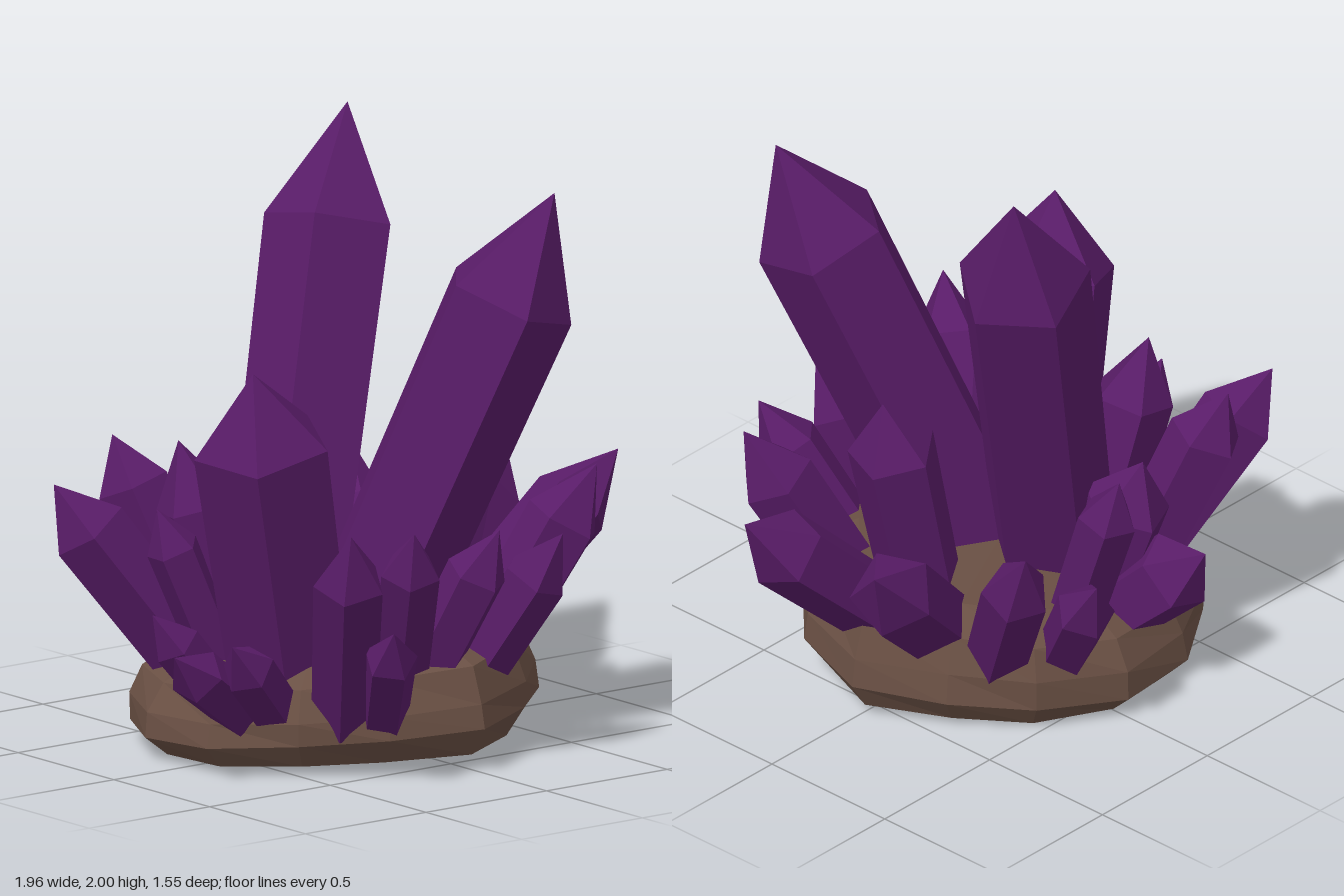
import * as THREE from 'three';

const crystalMat = new THREE.MeshStandardMaterial({ color: 0x591c68, flatShading: true });
const rockMat = new THREE.MeshStandardMaterial({ color: 0x6a5044, flatShading: true });
const UP = new THREE.Vector3(0, 1, 0);

// Five-sided prism with a pointed cap, standing at base and ending at tip
function crystal(name, base, tip, r, cap, spin) {
  const from = new THREE.Vector3(...base);
  const axis = new THREE.Vector3(...tip).sub(from);
  const h = axis.length();
  const profile = [[0, 0], [r * 0.92, 0], [r, h - r * cap], [0, h]].map(p => new THREE.Vector2(...p));
  const mesh = new THREE.Mesh(new THREE.LatheGeometry(profile, 5, spin), crystalMat);
  mesh.position.copy(from);
  mesh.quaternion.setFromUnitVectors(UP, axis.normalize());
  mesh.name = name;
  return mesh;
}

// Squat faceted rock: stacked rings, lower towards the back left side
function rock() {
  const n = 13;
  const rings = [[0, 0.03], [0.9, 0.03], [1, 0.11], [0.99, 0.2], [0.92, 0.31], [0.72, 0.375], [0, 0.39]];
  const pos = [], idx = [];
  rings.forEach(([k, y], j) => {
    for (let i = 0; i < n; i++) {
      const a = (i / n) * Math.PI * 2;
      const c = Math.cos(a), s = Math.sin(a), d = Math.sin(2 * a);
      const wob = 1 - 0.07 * d * d + 0.04 * d + 0.025 * Math.sin(i * 2.4 + 1) + 0.012 * Math.sin(i * 4.1 + j * 1.7);
      const tall = 1 + (0.17 * c + 0.12 * s) * k;
      const foot = j < 3 ? (0.022 * s + 0.006 * c) * k : 0;
      pos.push(-0.075 + 0.69 * k * wob * c, Math.max(0, y * tall + foot), -0.01 + 0.66 * k * wob * s);
      if (j > 0) {
        const i2 = (i + 1) % n, p = (j - 1) * n, q = j * n;
        idx.push(p + i, q + i, q + i2, p + i, q + i2, p + i2);
      }
    }
  });
  const geo = new THREE.BufferGeometry();
  geo.setAttribute('position', new THREE.Float32BufferAttribute(pos, 3));
  geo.setIndex(idx);
  geo.computeVertexNormals();
  const mesh = new THREE.Mesh(geo, rockMat);
  mesh.name = 'rockBase';
  return mesh;
}

export function createModel() {
  const group = new THREE.Group();
  group.name = 'crystalCluster';
  group.add(rock());

  // Main crystals: base, tip, radius, cap length, spin
  const main = [
    [[-0.23, 0.25, -0.11], [0.31, 2.0, -0.43], 0.225, 1.75, 0.3],
    [[-0.15, 0.25, 0.11], [0.39, 1.86, 0.55], 0.225, 1.7, 0.9],
    [[-0.34, 0.25, 0.11], [-0.63, 1.35, 0.26], 0.23, 1.15, 0.5],
    [[0.23, 0.25, 0.03], [0.45, 1.12, 0.02], 0.15, 1.35, 0.6],
  ];
  main.forEach(c => group.add(crystal('mainCrystal', ...c)));

  // Side crystals fanning out round the rim: base, tip, radius, cap length
  const side = [
    // right
    [[0.32, 0.22, 0.03], [0.98, 0.85, 0.14], 0.14],
    [[0.3, 0.25, -0.1], [0.91, 0.82, -0.37], 0.145],
    [[0.3, 0.22, 0.25], [0.63, 0.91, 0.47], 0.13],
    // back
    [[0.28, 0.2, -0.32], [0.49, 0.82, -0.65], 0.115, 2],
    [[0.1, 0.16, -0.43], [0.29, 0.68, -0.78], 0.1, 2],
    [[0, 0.2, -0.38], [0, 0.88, -0.61], 0.1],
    [[-0.14, 0.2, -0.33], [-0.22, 0.82, -0.51], 0.15, 1.2],
    [[-0.15, 0.2, -0.38], [-0.25, 0.56, -0.76], 0.14, 1.1],
    [[-0.32, 0.2, -0.33], [-0.53, 0.98, -0.6], 0.125, 1.4],
    // left
    [[-0.38, 0.25, -0.13], [-0.55, 1.03, -0.23], 0.135],
    [[-0.4, 0.2, -0.25], [-0.86, 0.88, -0.49], 0.135, 1.4],
    [[-0.45, 0.2, -0.07], [-0.71, 0.84, -0.14], 0.09],
    [[-0.5, 0.14, 0.01], [-0.84, 0.53, 0], 0.085],
    [[-0.5, 0.13, 0.15], [-0.98, 0.46, 0.29], 0.095],
    [[-0.46, 0.14, 0.23], [-0.82, 0.49, 0.39], 0.09],
    // front
    [[-0.36, 0.18, 0.4], [-0.58, 0.88, 0.71], 0.12],
    [[-0.26, 0.16, 0.47], [-0.45, 0.55, 0.77], 0.09],
    [[-0.14, 0.22, 0.4], [-0.31, 0.85, 0.7], 0.1],
    [[-0.09, 0.22, 0.42], [0.05, 0.81, 0.69], 0.105],
    [[0.1, 0.22, 0.42], [0.29, 0.77, 0.72], 0.11],
  ];
  side.forEach(([b, t, r, cap = 1.65], i) => group.add(crystal('sideCrystal', b, t, r, cap, i * 0.7)));
  return group;
}
